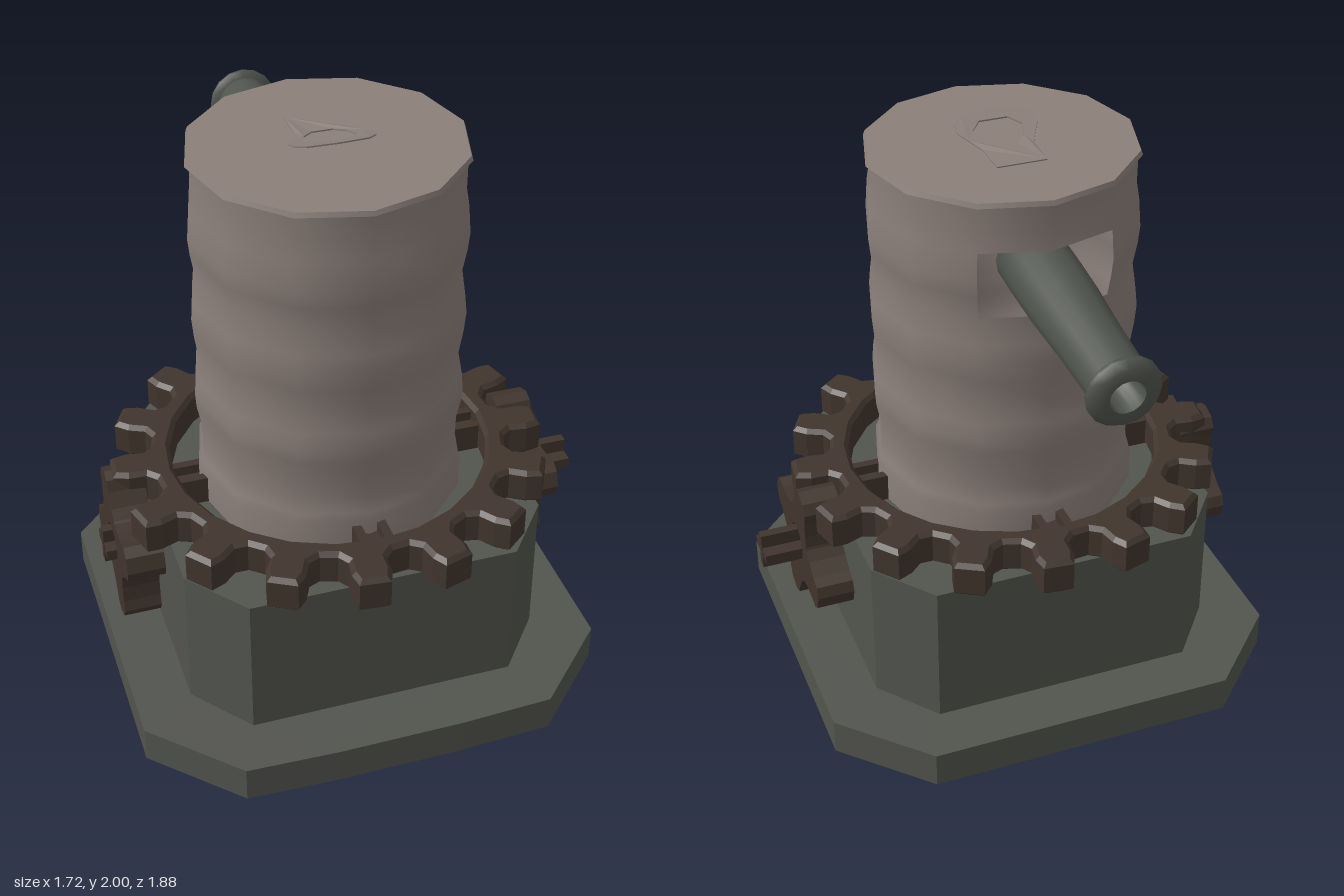
import * as THREE from 'three';

const CX = -0.045, CZ = 0.113; // turret axis
const RAD = Math.PI / 180;

const mat = (name, color, side = THREE.FrontSide) =>
  Object.assign(new THREE.MeshStandardMaterial({ color, side }), { name });

// Points given as [x, z]; shapes lie in (x, -z) so they can be laid flat
const flatPoints = (pts) => pts.map(([x, z]) => new THREE.Vector2(x, -z));

const octagon = (half, fx, fz) => [
  [-fx, half], [fx, half], [half, fz], [half, -fz],
  [fx, -half], [-fx, -half], [-half, -fz], [-half, fz],
];

// Extrudes a flat outline upward from y
function slab(outline, hole, y, height) {
  const shape = new THREE.Shape(flatPoints(outline));
  if (hole) shape.holes.push(new THREE.Path(flatPoints(hole)));
  const g = new THREE.ExtrudeGeometry(shape, { depth: height, bevelEnabled: false });
  return g.rotateX(-Math.PI / 2).translate(0, y, 0);
}

// Gear outline: one tooth as [radius, degrees] repeated around a circular hole
function gearGeometry(tooth, count, offset, holeRadius, thickness, bevel) {
  const pts = [];
  for (let i = 0; i < count; i++)
    for (const [r, deg] of tooth) {
      const a = (offset + deg + (i * 360) / count) * RAD;
      pts.push(new THREE.Vector2(r * Math.cos(a), r * Math.sin(a)));
    }
  const shape = new THREE.Shape(pts);
  const hole = new THREE.Path();
  hole.absarc(0, 0, holeRadius, 0, Math.PI * 2, true);
  shape.holes.push(hole);
  return new THREE.ExtrudeGeometry(shape, {
    depth: thickness - 2 * bevel, curveSegments: 12, bevelEnabled: bevel > 0,
    bevelThickness: bevel, bevelSize: bevel, bevelOffset: -bevel, bevelSegments: 1,
  }).translate(0, 0, bevel);
}

// Mirrors half a tooth to the other side
const mirrorTooth = (half) => [...half, ...half.slice().reverse().map(([r, d]) => [r, -d])];

export function createModel() {
  const root = new THREE.Group();
  root.name = 'turret';
  const stone = mat('dark grey', 0x52544e);
  const iron = mat('dark brown', 0x41352d);
  const clay = mat('warm grey', 0x8b7f79, THREE.DoubleSide);
  const steel = mat('gun grey', 0x50544e, THREE.DoubleSide);

  const add = (name, geometry, material, x = CX, y = 0, z = CZ) => {
    const m = new THREE.Mesh(geometry, material);
    m.name = name;
    m.position.set(x, y, z);
    root.add(m);
    return m;
  };

  // Foot plate, slightly bowed at the front, open in the middle
  const bodyOuter = octagon(0.625, 0.46, 0.42);
  const bodyInner = octagon(0.615, 0.453, 0.413);
  const foot = octagon(0.815, 0.538, 0.538);
  foot.splice(1, 0, [-0.22, 0.828], [0.22, 0.828]);
  add('footPlate', slab(foot, bodyOuter, 0, 0.13), stone);

  // Hollow body with a roof
  add('bodyWalls', slab(bodyOuter, bodyInner, 0, 0.64), stone);
  add('bodyRoof', slab(bodyOuter, null, 0.64, 0.015), stone);

  // Large horizontal ring gear
  const bigTooth = mirrorTooth([[0.615, -8.5], [0.645, -5.6], [0.705, -5.4], [0.757, -3.9]]);
  const ring = gearGeometry(bigTooth, 16, 16.5, 0.55, 0.13, 0.015).rotateX(-Math.PI / 2);
  add('ringGear', ring, iron, CX, 0.65);

  // Four spokes, each with two raised rails
  for (let i = 0; i < 4; i++) {
    const spoke = new THREE.Group();
    spoke.name = 'spoke';
    spoke.position.set(CX, 0, CZ);
    spoke.rotation.y = (i * Math.PI) / 2;
    for (const [w, top, z] of [[0.11, 0.72, 0], [0.03, 0.755, 0.042], [0.03, 0.755, -0.042]]) {
      const bar = new THREE.Mesh(new THREE.BoxGeometry(0.15, top - 0.655, w), iron);
      bar.name = 'spokeBar';
      bar.position.set(0.495, (top + 0.655) / 2, z);
      spoke.add(bar);
    }
    root.add(spoke);
  }

  // Side pinions on cross-shaped shafts
  const lobe = mirrorTooth([[0.145, -43], [0.165, -29], [0.21, -17.5], [0.248, -14], [0.268, -6]]);
  const pinion = gearGeometry(lobe, 4, 70, 0.07, 0.13, 0).rotateY(Math.PI / 2);
  for (const [x, a, b] of [[-0.825, -0.86, -0.62], [0.598, 0.53, 0.86]]) {
    add('pinion', pinion, iron, x, 0.512);
    add('shaftUpright', new THREE.BoxGeometry(b - a, 0.134, 0.034), iron, (a + b) / 2, 0.512);
    add('shaftCrossbar', new THREE.BoxGeometry(b - a - 0.002, 0.034, 0.134), iron, (a + b) / 2, 0.512);
  }

  // Corrugated twelve-sided tower; a window is left open behind
  const profile = [
    [0.462, 0.655], [0.462, 0.775], [0.45, 0.80], [0.443, 0.86], [0.446, 0.95], [0.46, 1.02],
    [0.463, 1.07], [0.457, 1.13], [0.443, 1.21], [0.457, 1.30], [0.463, 1.37], [0.457, 1.43],
    [0.443, 1.53], [0.457, 1.61], [0.463, 1.67], [0.455, 1.77], [0.445, 1.83], [0.446, 1.928],
  ].map((p) => new THREE.Vector2(...p));
  const tower = new THREE.LatheGeometry(profile, 12);
  const rows = profile.length - 1, kept = [];
  for (let i = 0; i < 12; i++)
    for (let j = 0; j < rows; j++) {
      const open = (i === 5 || i === 6) && j >= 12 && j <= 14;
      if (open) continue;
      for (let k = 0; k < 6; k++) kept.push(tower.index.getX((i * rows + j) * 6 + k));
    }
  tower.setIndex(kept);
  add('towerWall', tower, clay);

  // Lid with a thin rim
  const lid = new THREE.CylinderGeometry(0.455, 0.461, 0.016, 12);
  add('lid', lid, clay, CX, 1.936);

  // Pull tab with a hole, curling up out of the lid
  const side = [[0.085, -0.075], [0.088, 0.05], [0.115, 0.105], [0.14, 0.15], [0.135, 0.19], [0.1, 0.225]];
  const tabOutline = [...side, [0, 0.234], ...side.slice().reverse().map(([x, z]) => [-x, z])];
  const tabHole = [[0.035, 0.055], [0.07, 0.09], [0.085, 0.15], [0.05, 0.19],
    [-0.05, 0.19], [-0.085, 0.15], [-0.07, 0.09], [-0.035, 0.055]];
  const tab = slab(tabOutline, tabHole, 0, 0.005);
  const p = tab.attributes.position;
  for (let i = 0; i < p.count; i++) {
    const t = Math.max(0, (p.getZ(i) - 0.02) / 0.214);
    p.setY(i, p.getY(i) + 0.052 * t ** 1.3);
  }
  tab.computeVertexNormals();
  add('pullTab', tab, clay, CX, 1.943, 0);

  // Gun barrel with flared muzzle and bore, dipping slightly to the rear
  const smooth = (pts) => new THREE.LatheGeometry(pts.map((q) => new THREE.Vector2(...q)), 16);
  const barrel = new THREE.Group();
  barrel.name = 'barrel';
  barrel.position.set(CX, 1.658, -0.15);
  barrel.rotation.x = -Math.PI / 2 - 0.086;
  const parts = {
    barrelTube: [[0, 0], [0.118, 0], [0.118, 0.13], [0.115, 0.3], [0.104, 0.5], [0.097, 0.745]],
    muzzleFlare: [[0.097, 0.738], [0.122, 0.748], [0.122, 0.762], [0.1, 0.788], [0.058, 0.788]],
    muzzleBore: [[0.058, 0.788], [0.055, 0.65], [0, 0.65]],
  };
  for (const [name, pts] of Object.entries(parts)) {
    const m = new THREE.Mesh(smooth(pts), steel);
    m.name = name;
    barrel.add(m);
  }
  root.add(barrel);

  return root;
}
